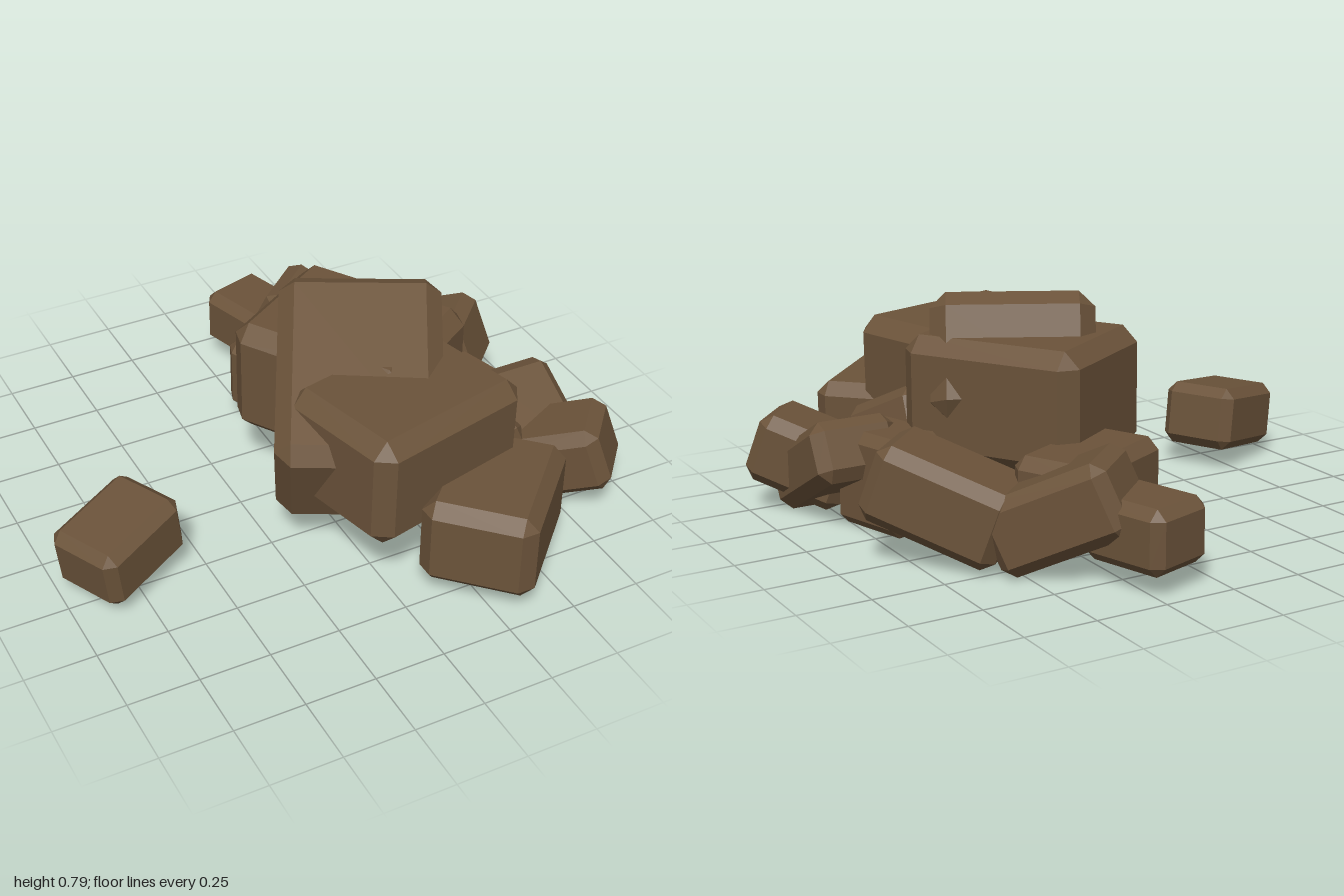
import * as THREE from 'three';
import { ConvexGeometry } from 'three/addons/geometries/ConvexGeometry.js';

// Box with every edge and corner cut off flat
function chamferedBox(w, h, d, c) {
  const points = [];
  for (const sx of [-1, 1]) for (const sy of [-1, 1]) for (const sz of [-1, 1]) {
    const x = w / 2, y = h / 2, z = d / 2;
    points.push(
      new THREE.Vector3(sx * x, sy * (y - c), sz * (z - c)),
      new THREE.Vector3(sx * (x - c), sy * y, sz * (z - c)),
      new THREE.Vector3(sx * (x - c), sy * (y - c), sz * z)
    );
  }
  return new ConvexGeometry(points);
}

// name, centre, size, [yaw, pitch, roll] in degrees, chamfer
const ROCKS = [
  // large stones in the middle of the heap
  ['topRock', [0.12, 0.465, 0.185], [0.56, 0.43, 0.75], [-28, 23, 0], 0.055],
  ['frontLargeRock', [0.17, 0.435, 0.41], [0.65, 0.41, 0.5], [14, 0, -1], 0.055],
  ['backLargeRock', [0.19, 0.44, -0.015], [0.55, 0.43, 0.66], [32, 0, 0], 0.055],
  // stone at the front foot
  ['frontFootRock', [0.365, 0.23, 0.685], [0.51, 0.32, 0.39], [45, 0, -1], 0.045],
  // stones on the left side
  ['sideTiltedRock', [0.75, 0.19, 0.307], [0.31, 0.215, 0.47], [0, 28, 0], 0.04],
  ['sideFrontRock', [0.79, 0.185, 0.445], [0.36, 0.25, 0.28], [-42, 0, 20], 0.04],
  ['sideUprightRock', [0.63, 0.17, 0.11], [0.25, 0.34, 0.33], [16, 0, 0], 0.035],
  ['sideInnerRock', [0.46, 0.235, 0.3], [0.3, 0.3, 0.34], [25, 25, 15], 0.04],
  // stones trailing off at the back
  ['backCornerRock', [0.64, 0.215, -0.31], [0.48, 0.27, 0.31], [-45, 0, 20], 0.04],
  ['backTiltedRock', [0.37, 0.205, -0.59], [0.46, 0.26, 0.31], [-48, 0, -25], 0.04],
  ['backEndRock', [0.2, 0.18, -0.8], [0.26, 0.22, 0.32], [17, 0, 0], 0.035],
  ['backInnerRock', [0.195, 0.21, -0.45], [0.48, 0.29, 0.3], [26, 0, 0], 0.04],
  // stone lying apart
  ['looseRock', [-0.785, 0.175, 0.19], [0.37, 0.23, 0.28], [26, 0, 8], 0.035],
];

export function createModel() {
  const model = new THREE.Group();
  model.name = 'rockPile';
  const stone = new THREE.MeshStandardMaterial({ color: 0x6b533a, flatShading: true });
  stone.name = 'brownStone';

  for (const [name, centre, size, [yaw, pitch, roll], chamfer] of ROCKS) {
    const rock = new THREE.Mesh(chamferedBox(...size, chamfer), stone);
    rock.name = name;
    rock.position.set(...centre);
    const rad = THREE.MathUtils.degToRad;
    rock.rotation.set(rad(pitch), rad(yaw), rad(roll), 'YXZ');
    model.add(rock);
  }
  return model;
}
